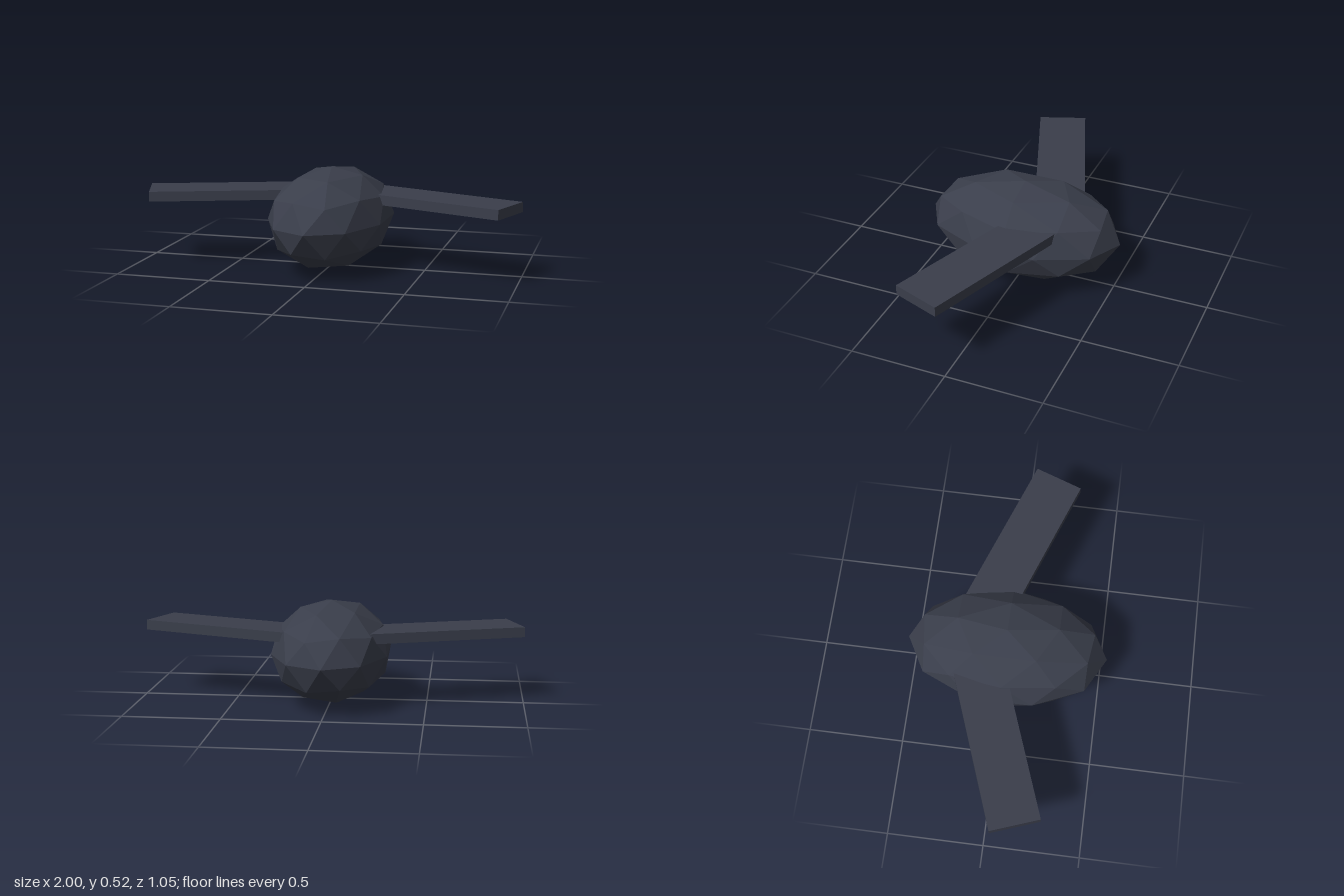
import * as THREE from 'three';

export function createModel() {
  const model = new THREE.Group();
  const slate = new THREE.MeshStandardMaterial({ color: 0x3a3e4b, flatShading: true });
  slate.name = 'dark slate';

  // Faceted egg-shaped body: icosphere with a vertex turned to the top
  const bodyGeometry = new THREE.IcosahedronGeometry(1, 1);
  bodyGeometry.rotateZ(-Math.atan(2 / (1 + Math.sqrt(5))));
  bodyGeometry.scale(0.314, 0.262, 0.523);
  bodyGeometry.computeVertexNormals();
  const body = new THREE.Mesh(bodyGeometry, slate);
  body.name = 'body';
  body.position.y = 0.262;
  model.add(body);

  // Flat wings, swept toward the front
  const wingGeometry = new THREE.BoxGeometry(0.836, 0.052, 0.261);
  for (const side of [1, -1]) {
    const wing = new THREE.Mesh(wingGeometry, slate);
    wing.name = side > 0 ? 'leftWing' : 'rightWing';
    wing.position.set(side * 0.562, 0.367, 0.015);
    wing.rotation.y = -side * THREE.MathUtils.degToRad(20);
    model.add(wing);
  }

  return model;
}
